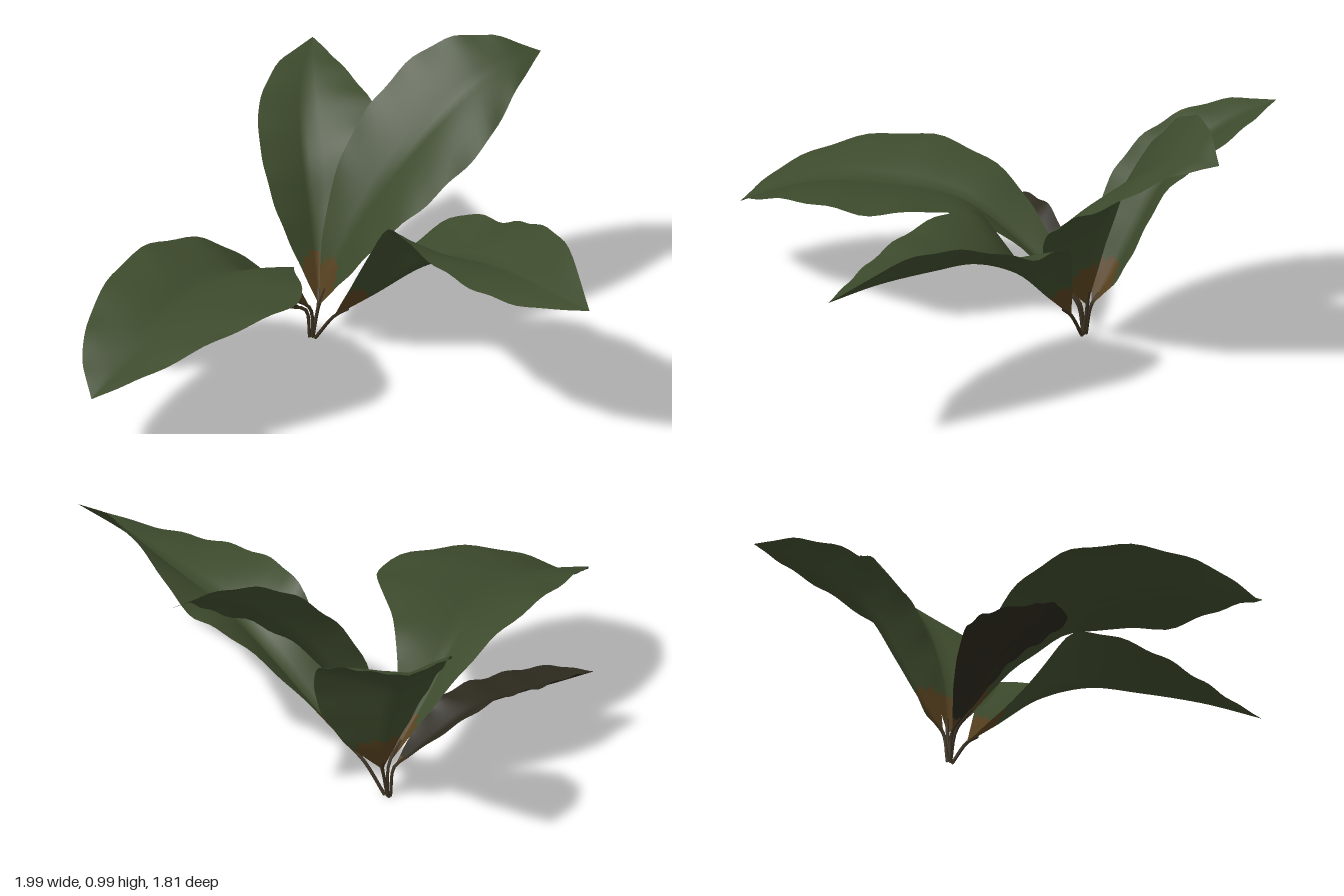
import * as THREE from 'three';

const mat = (name, color) => {
  const m = new THREE.MeshStandardMaterial({ color, side: THREE.DoubleSide });
  m.name = name;
  return m;
};

const ROWS = 40, HALF = 6; // cells along the blade, cells from midrib to edge

const curve = (pts) => new THREE.CatmullRomCurve3(pts.map((p) => new THREE.Vector3(...p)), false, 'centripetal');

// Blade lofted between a left edge, a midrib and a right edge; its base cells take the second material
function bladeGeometry(mid, left, right, brownLength, seed) {
  const ends = (side) => curve([mid[0], ...side, mid[mid.length - 1]]);
  const rib = curve(mid), edges = [ends(left), ends(right)];
  const positions = [], green = [], brown = [], cols = 2 * HALF + 1;
  for (let i = 0; i <= ROWS; i++) {
    const t = i / ROWS, m = rib.getPoint(t), swell = Math.sin(Math.PI * t);
    for (let j = -HALF; j <= HALF; j++) {
      const s = Math.abs(j) / HALF, e = edges[j < 0 ? 0 : 1].getPoint(t);
      const p = m.clone().lerp(e, s);
      // soft bow between rib and edge, plus a ruffled margin
      p.y += swell * (0.2 * s * (1 - s) * m.distanceTo(e)
        + 0.006 * s * s * Math.sin(t * 44 + seed + Math.sign(j)));
      positions.push(p.x, p.y, p.z);
    }
  }
  for (let i = 0; i < ROWS; i++) {
    for (let j = 0; j < cols - 1; j++) {
      const a = i * cols + j, b = a + 1, c = a + cols, d = c + 1;
      const off = Math.abs(j + 0.5 - HALF) / HALF;
      const list = i / ROWS < brownLength * (1.3 - 0.6 * off) ? brown : green;
      list.push(a, c, b, b, c, d);
    }
  }
  const g = new THREE.BufferGeometry();
  g.setAttribute('position', new THREE.Float32BufferAttribute(positions, 3));
  g.setIndex([...green, ...brown]);
  g.addGroup(0, green.length, 0);
  g.addGroup(green.length, brown.length, 1);
  g.computeVertexNormals();
  return g;
}

export function createModel() {
  const model = new THREE.Group();
  const leafGreen = mat('leaf green', 0x3d4a2c);
  const witheredOlive = mat('withered olive', 0x2b281c);
  const baseBrown = mat('base brown', 0x57411f);
  const stemBrown = mat('stem brown', 0x3a3020);

  const addLeaf = (name, colour, brownLength, root, mid, left, right) => {
    const leaf = new THREE.Group();
    leaf.name = name;
    const geometry = bladeGeometry(mid, left, right, brownLength, model.children.length);
    const blade = new THREE.Mesh(geometry, [colour, baseBrown]);
    blade.name = name + 'Blade';
    // stalk runs from the root into the start of the midrib
    const path = curve([root, mid[0], mid[0].map((v, k) => v + (mid[1][k] - v) * 0.35)]);
    const stalk = new THREE.Mesh(new THREE.TubeGeometry(path, 8, 0.006, 6), stemBrown);
    stalk.name = name + 'Stalk';
    leaf.add(blade, stalk);
    model.add(leaf);
  };

  // Broad arching leaf towards -x
  addLeaf('rightLeaf', leafGreen, 0.09, [0.27, 0.006, -0.49],
    [[0.25, 0.12, -0.485], [0.05, 0.28, -0.5], [-0.18, 0.42, -0.48], [-0.45, 0.44, -0.45], [-0.7, 0.405, -0.43], [-0.88, 0.33, -0.43], [-1, 0.265, -0.44]],
    [[0.08, 0.32, -0.585], [-0.12, 0.47, -0.66], [-0.4, 0.525, -0.7], [-0.7, 0.47, -0.65], [-0.91, 0.36, -0.55]],
    [[0.06, 0.33, -0.4], [-0.1, 0.46, -0.28], [-0.33, 0.485, -0.08], [-0.62, 0.455, -0.14], [-0.88, 0.36, -0.28]]);

  // Long leaf towards the front, its left margin lifted near the base
  addLeaf('frontLeaf', leafGreen, 0.12, [0.27, 0.006, -0.48],
    [[0.27, 0.11, -0.4], [0.27, 0.24, -0.23], [0.26, 0.42, 0], [0.21, 0.52, 0.2], [0.165, 0.57, 0.42], [0.08, 0.6, 0.67], [0.01, 0.61, 0.9]],
    [[0.16, 0.36, -0.21], [0.09, 0.61, -0.02], [-0.005, 0.615, 0.19], [-0.05, 0.585, 0.42], [-0.045, 0.575, 0.64]],
    [[0.38, 0.37, -0.19], [0.45, 0.54, 0], [0.43, 0.58, 0.2], [0.32, 0.68, 0.43], [0.2, 0.715, 0.65]]);

  // Tall leaf towards +x
  addLeaf('leftLeaf', leafGreen, 0.11, [0.27, 0.006, -0.49],
    [[0.29, 0.12, -0.48], [0.33, 0.3, -0.43], [0.42, 0.5, -0.36], [0.54, 0.68, -0.28], [0.73, 0.86, -0.18], [0.88, 0.92, -0.12], [0.99, 0.925, -0.08]],
    [[0.35, 0.36, -0.51], [0.45, 0.63, -0.5], [0.59, 0.83, -0.44], [0.75, 0.965, -0.345], [0.88, 0.985, -0.22]],
    [[0.24, 0.29, -0.32], [0.27, 0.45, -0.19], [0.41, 0.6, -0.075], [0.62, 0.73, -0.025], [0.82, 0.86, -0.045]]);

  // Upright leaf towards the back
  addLeaf('backLeaf', leafGreen, 0.16, [0.275, 0.006, -0.5],
    [[0.3, 0.12, -0.49], [0.36, 0.24, -0.54], [0.42, 0.39, -0.6], [0.48, 0.54, -0.67], [0.58, 0.67, -0.76], [0.69, 0.76, -0.84], [0.79, 0.81, -0.9]],
    [[0.27, 0.28, -0.56], [0.26, 0.44, -0.64], [0.31, 0.59, -0.74], [0.42, 0.7, -0.84], [0.6, 0.775, -0.905]],
    [[0.43, 0.26, -0.42], [0.53, 0.43, -0.38], [0.61, 0.61, -0.42], [0.7, 0.71, -0.59], [0.76, 0.77, -0.77]]);

  // Small withered leaf low at the back, with a blunt tip
  addLeaf('smallLeaf', witheredOlive, 0.04, [0.265, 0.006, -0.5],
    [[0.25, 0.11, -0.505], [0.1, 0.18, -0.57], [-0.04, 0.24, -0.64], [-0.2, 0.25, -0.72], [-0.34, 0.25, -0.79], [-0.45, 0.26, -0.86]],
    [[0.14, 0.23, -0.64], [0.0, 0.325, -0.76], [-0.15, 0.32, -0.825], [-0.35, 0.285, -0.845]],
    [[0.1, 0.22, -0.51], [-0.03, 0.28, -0.54], [-0.22, 0.28, -0.61], [-0.4, 0.265, -0.72]]);

  return model;
}
